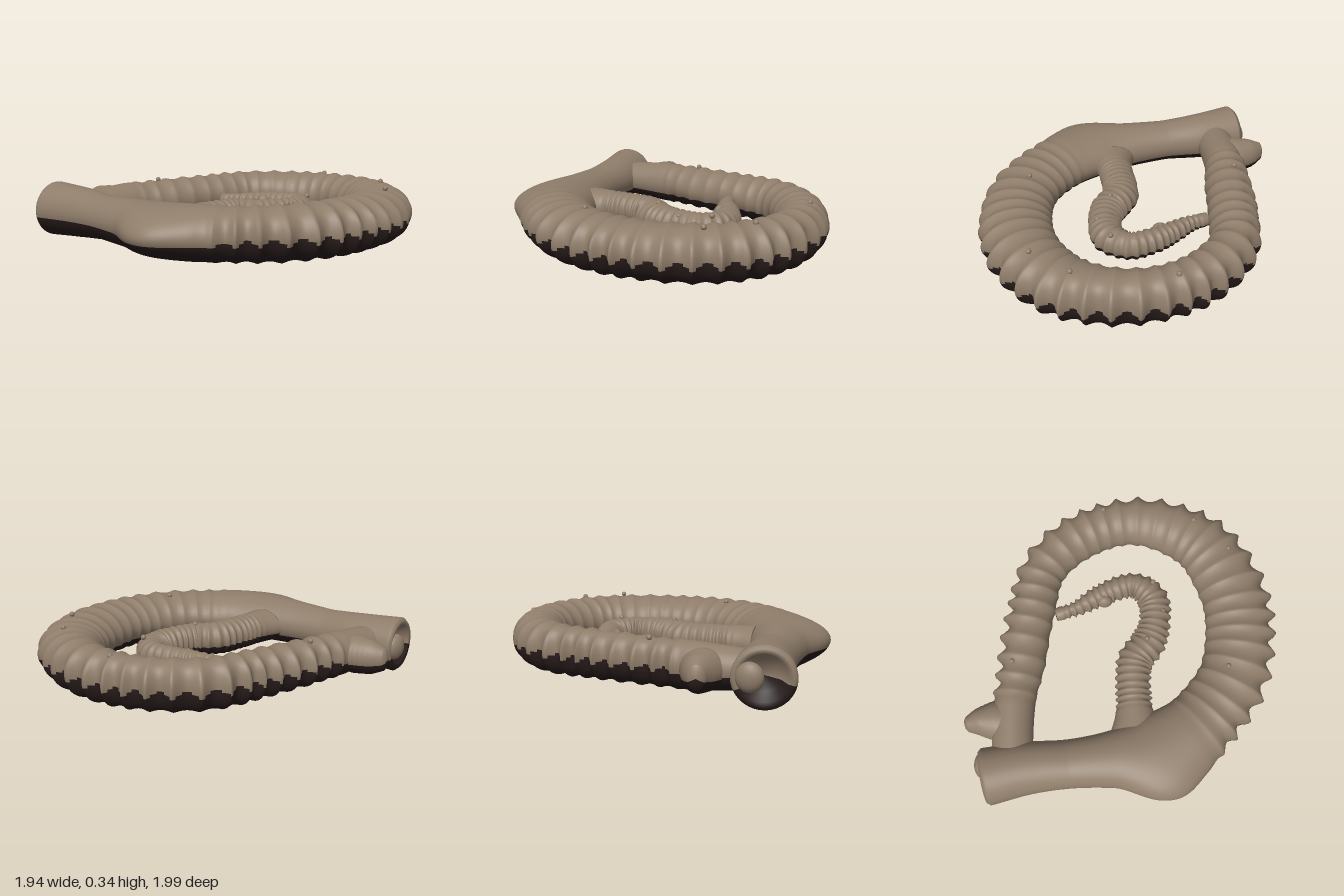
import * as THREE from 'three';

const bodyColour = new THREE.MeshStandardMaterial({ color: 0x8f7d6a });
bodyColour.name = 'dusty brown';
const underColour = new THREE.MeshStandardMaterial({ color: 0x261b1a });
underColour.name = 'dark underside';

const MID = 0.167; // height of the tube centre line
const SIDES = 56;

// Evenly spaced list of values read at t = 0..1
function lerpList(list, t) {
  const f = t * (list.length - 1);
  const i = Math.min(Math.floor(f), list.length - 2);
  return list[i] + (list[i + 1] - list[i]) * (f - i);
}

// Sweeps a flattened, ribbed tube along [x, z, halfWidth] points.
// start / end: extra rings [offset along the path, scale] that close the tube.
// swell: outward bulge on the outer side, [place along the path, spread, amount].
function sweep(name, points, o) {
  const curve = new THREE.CatmullRomCurve3(points.map(([x, z, w]) => new THREE.Vector3(x, w, z)));
  curve.arcLengthDivisions = 600;
  const rings = [
    ...o.start.map(([off, k]) => [0, off, k]),
    ...Array.from({ length: o.steps + 1 }, (_, i) => [i / o.steps, 0, 1]),
    ...o.end.map(([off, k]) => [1, off, k]),
  ];
  const [swellAt, swellSpread, swellAmount] = o.swell ?? [0, 1, 0];
  const pos = [], light = [], dark = [];
  const valleys = [];
  rings.forEach(([s, off, k]) => {
    const p = curve.getPointAt(s);
    const t = curve.getTangentAt(s).setY(0).normalize();
    const h = lerpList(o.heights, curve.getUtoTmapping(s));
    const swell = swellAmount * Math.exp(-(((s - swellAt) / swellSpread) ** 2));
    // Sharp ridges separated by rounded valleys
    const [r0, r1] = o.ribRange;
    const fade = THREE.MathUtils.smoothstep(s, r0, r0 + 0.05) * (1 - THREE.MathUtils.smoothstep(s, r1 - 0.04, r1));
    const phase = (s - r0) / (r1 - r0) * o.ribs + 0.12 * Math.sin(s * 47);
    const valley = Math.abs(Math.sin(Math.PI * phase)) * fade;
    valleys.push(valley);
    for (let j = 0; j < SIDES; j++) {
      const a = j / SIDES * Math.PI * 2;
      const c = Math.cos(a), n = Math.sin(a);
      const side = Math.max(0, c);
      const outer = o.evenRibs ? 1 : 0.15 + 0.85 * side;
      const lump = 1 + 0.015 * Math.sin(s * 61 + 3 * a) * fade;
      const wide = ((p.y - o.ribDepth * valley * outer) * c * lump + swell * side * side) * k;
      const tall = (h - o.ribDepth * 0.25 * valley) * Math.sign(n) * Math.pow(Math.abs(n), 1.03) * k;
      pos.push(p.x + t.x * off - t.z * wide, (o.mid ?? MID) + tall, p.z + t.z * off + t.x * wide);
    }
  });
  for (let i = 0; i < rings.length - 1; i++) {
    for (let j = 0; j < SIDES; j++) {
      const a = i * SIDES + j, b = i * SIDES + (j + 1) % SIDES;
      const angle = (j + 0.5) / SIDES * Math.PI * 2;
      // The dark underside climbs into the valleys on the outer side only
      const inner = o.evenRibs ? -0.33 : -0.45;
      const border = Math.cos(angle) > 0 && !o.evenRibs ? -0.23 + 0.2 * valleys[i] : inner;
      (Math.sin(angle) < border ? dark : light).push(a, a + SIDES, b, b, a + SIDES, b + SIDES);
    }
  }
  const g = new THREE.BufferGeometry();
  g.setAttribute('position', new THREE.Float32BufferAttribute(pos, 3));
  g.setIndex([...light, ...dark]);
  g.addGroup(0, light.length, 0);
  g.addGroup(light.length, dark.length, 1);
  g.computeVertexNormals();
  const mesh = new THREE.Mesh(g, [bodyColour, underColour]);
  mesh.name = name;
  return mesh;
}

// Small ellipsoid stuck to the surface
const ball = new THREE.SphereGeometry(1, 20, 14);
function knob(name, x, y, z, rx, ry, rz) {
  const m = new THREE.Mesh(ball, bodyColour);
  m.name = name;
  m.scale.set(rx, ry, rz);
  m.position.set(x, y, z);
  return m;
}

export function createModel() {
  const model = new THREE.Group();
  model.name = 'coiledRibbedTube';

  // Large tube: smooth stump in front, swelling, then the ribbed loop
  model.add(sweep('mainTube', [
    [-0.84, 0.793, 0.17], [-0.6, 0.755, 0.155], [-0.35, 0.742, 0.145], [-0.1, 0.727, 0.17],
    [0.15, 0.702, 0.23], [0.41, 0.57, 0.225], [0.64, 0.31, 0.222], [0.737, 0, 0.222],
    [0.708, -0.36, 0.222], [0.552, -0.65, 0.206], [0.29, -0.808, 0.176], [0.02, -0.838, 0.16],
    [-0.27, -0.735, 0.16], [-0.49, -0.52, 0.155], [-0.566, -0.24, 0.155], [-0.632, 0.09, 0.155],
    [-0.675, 0.36, 0.13], [-0.688, 0.67, 0.12],
  ], {
    steps: 560, ribs: 32, ribRange: [0.235, 0.95], ribDepth: 0.053, swell: [0.205, 0.028, 0.07],
    heights: [0.167, 0.152, 0.131, 0.14, 0.15, 0.155, 0.16, 0.16, 0.16, 0.16, 0.158, 0.155, 0.152, 0.15, 0.145, 0.14, 0.135, 0.11],
    start: [[0.06, 0], [0.05, 0.5], [-0.015, 0.74], [-0.02, 0.9]],
    end: [[0.02, 0.7], [0.03, 0]],
  }));

  // Thin ribbed tube inside the loop
  model.add(sweep('innerTube', [
    [0.05, 0.56, 0.15], [0.05, 0.46, 0.118], [0.05, 0.3, 0.113], [0.07, 0.12, 0.116], [0.162, 0.0, 0.116],
    [0.21, -0.14, 0.102], [0.205, -0.29, 0.104], [0.1, -0.385, 0.088], [-0.04, -0.363, 0.083],
    [-0.17, -0.305, 0.073], [-0.28, -0.247, 0.056], [-0.41, -0.21, 0.04],
  ], {
    steps: 300, ribs: 33, ribRange: [0.07, 0.98], ribDepth: 0.02, evenRibs: true, mid: 0.158,
    heights: [0.105, 0.105, 0.105, 0.105, 0.1, 0.095, 0.09, 0.085, 0.08, 0.07, 0.055, 0.04],
    start: [[0, 0]], end: [[0, 0]],
  }));
  model.add(knob('innerTubeKnot', -0.1, 0.17, -0.285, 0.05, 0.05, 0.04));

  // Torn lobe where the loop ends beside the stump
  model.add(sweep('tornLobe', [
    [-0.7, 0.455, 0.13], [-0.78, 0.458, 0.122], [-0.88, 0.462, 0.085], [-0.955, 0.475, 0.045],
  ], {
    steps: 24, ribs: 1, ribRange: [0.2, 0.9], ribDepth: 0, evenRibs: true,
    heights: [0.11, 0.115, 0.1, 0.065], start: [[0, 0]], end: [[0.012, 0.6], [0.015, 0]],
  }));

  // Ragged flap on the open rim of the stump
  model.add(knob('rimFlap', -0.865, 0.17, 0.725, 0.045, 0.08, 0.075));

  // Small grains stuck on the surface
  [[0.62, 0.315, 0.23], [0.49, 0.325, -0.75], [0.69, 0.325, -0.54], [-0.08, 0.31, -0.86], [-0.67, 0.3, 0.13],
    [0.15, 0.255, 0.01], [0.26, 0.225, -0.18], [0.21, 0.24, -0.37]].forEach(([x, y, z]) => {
    model.add(knob('grain', x, y, z, 0.016, 0.016, 0.016));
  });

  return model;
}
